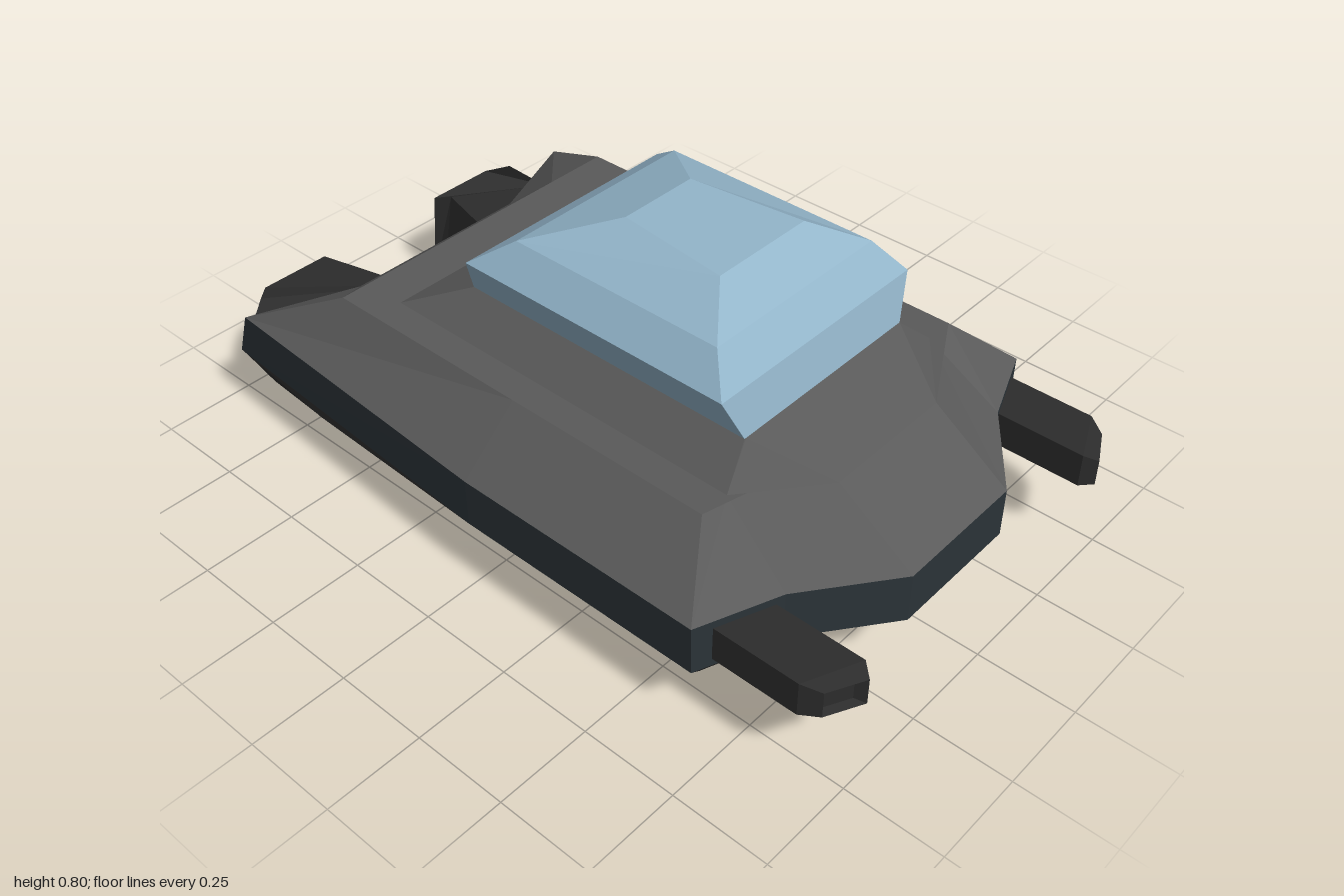
import * as THREE from 'three';

const material = (color) => new THREE.MeshStandardMaterial({ color, flatShading: true, roughness: 0.8 });
const paint = material(0x5a5a5a), band = material(0x2b3338), under = material(0x363636);
const dark = material(0x2c2c2c), glass = material(0x93b5ca);

// Skin between loops of [x, y, z] points, with optional flat ends
function loft(name, loops, mat, capStart = true, capEnd = true) {
  const pos = [];
  const tri = (...pts) => pts.forEach((p) => pos.push(...p));
  for (let k = 0; k + 1 < loops.length; k++) {
    const lo = loops[k], hi = loops[k + 1], n = lo.length;
    for (let i = 0; i < n; i++) {
      const j = (i + 1) % n;
      tri(lo[i], lo[j], hi[j]);
      tri(lo[i], hi[j], hi[i]);
    }
  }
  const first = loops[0], last = loops[loops.length - 1];
  for (let i = 1; i + 1 < first.length; i++) {
    if (capStart) tri(first[0], first[i + 1], first[i]);
    if (capEnd) tri(last[0], last[i], last[i + 1]);
  }
  const geo = new THREE.BufferGeometry();
  geo.setAttribute('position', new THREE.Float32BufferAttribute(pos, 3));
  geo.computeVertexNormals();
  const mesh = new THREE.Mesh(geo, mat);
  mesh.name = name;
  return mesh;
}

const flip = (loop) => loop.map(([x, y, z]) => [-x, y, z]).reverse();

// Symmetric horizontal loop from the left half outline, front to back
function level(y, half) {
  const left = half.map(([x, z]) => [x, y, z]);
  return [...left, ...flip(left)];
}

export function createModel() {
  const model = new THREE.Group();

  // Hull outlines: nose, prow, shoulder, waist, tail, rear notch
  const floor = level(0, [[0.14, 0.72], [0.3, 0.57], [0.455, 0.57], [0.455, 0], [0.455, -0.75], [0.15, -0.62]]);
  const beltLow = level(0.19, [[0.18, 0.915], [0.4, 0.75], [0.605, 0.67], [0.605, 0], [0.55, -0.92], [0.15, -0.76]]);
  const beltHigh = level(0.32, [[0.18, 0.915], [0.4, 0.75], [0.608, 0.67], [0.608, 0], [0.555, -0.87], [0.27, -0.76]]);
  const deck = level(0.46, [[0.18, 0.71], [0.37, 0.56], [0.45, 0.56], [0.45, 0], [0.45, -0.59], [0.27, -0.59]]);
  model.add(
    loft('lowerHull', [floor, beltLow], under, true, false),
    loft('sideBelt', [beltLow, beltHigh], band, false, false),
    loft('upperHull', [beltHigh, deck], paint, false, true),
  );

  // Raised cabin base
  model.add(loft('cabinBase', [
    level(0.46, [[0.18, 0.71], [0.37, 0.56], [0.37, -0.47]]),
    level(0.54, [[0.275, 0.53], [0.28, 0.53], [0.28, -0.3]]),
  ], paint, false, true));

  // Faceted canopy
  model.add(loft('canopy', [
    level(0.54, [[0.28, 0.53], [0.28, -0.3]]),
    level(0.65, [[0.33, 0.505], [0.33, -0.265]]),
    level(0.73, [[0.27, 0.44], [0.27, -0.155]]),
    level(0.8, [[0.145, 0.34], [0.11, 0.035]]),
  ], glass));

  // Rear thruster: outer front corner round to inner front corner
  const thruster = [
    [[0.455, 0, -0.74], [0.455, 0.02, -0.94], [0.4, 0.03, -1], [0.18, 0.03, -1], [0.17, 0.02, -0.95], [0.15, 0, -0.62]],
    [[0.55, 0.19, -0.91], [0.45, 0.285, -0.95], [0.4, 0.27, -1], [0.2, 0.27, -1], [0.22, 0.285, -0.95], [0.15, 0.29, -0.7]],
  ];

  // Front gun: rectangular sections whose outer edge is set back
  const section = (x0, x1, y0, y1, zIn, zOut) => [[x0, y0, zIn], [x1, y0, zOut], [x1, y1, zOut], [x0, y1, zIn]];
  const gun = [
    section(0.42, 0.56, 0.21, 0.3, 0.55, 0.55),
    section(0.42, 0.56, 0.21, 0.3, 0.97, 0.91),
    section(0.445, 0.535, 0.215, 0.285, 1, 0.955),
    section(0.46, 0.52, 0.225, 0.275, 0.975, 0.945),
  ];

  for (const [side, loops] of [['left', (l) => l], ['right', flip]]) {
    model.add(
      loft(side + 'RearThruster', thruster.map(loops), dark),
      loft(side + 'FrontGun', gun.map(loops), dark),
    );
  }
  return model;
}
